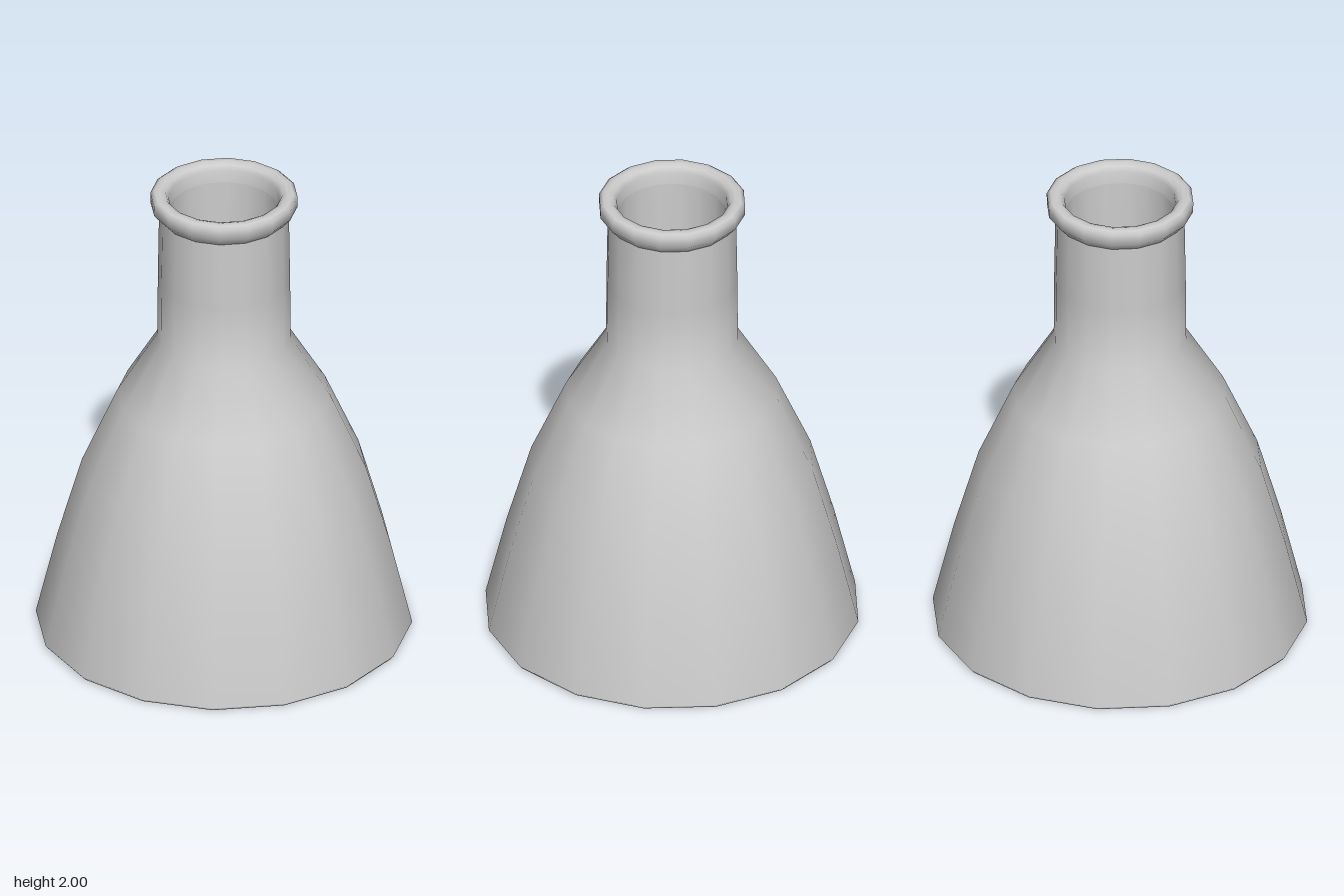
import * as THREE from 'three';

const SIDES = 16;

export function createModel() {
  const flask = new THREE.Group();
  flask.name = 'flask';
  const glass = new THREE.MeshStandardMaterial({ color: 0xcccccc });

  // Turned part from a [radius, height] profile; upward profiles face outward
  const turn = (name, profile) => {
    const points = profile.map(([r, y]) => new THREE.Vector2(r, y));
    const mesh = new THREE.Mesh(new THREE.LatheGeometry(points, SIDES), glass);
    mesh.name = name;
    flask.add(mesh);
  };

  // Flat underside
  turn('base', [[0, 0], [0.755, 0]]);

  // Small chamfer, curved body, straight neck
  turn('outerWall', [
    [0.755, 0], [0.768, 0.015], [0.68, 0.38], [0.58, 0.73], [0.435, 1.06],
    [0.272, 1.33], [0.27, 1.6], [0.265, 1.9],
  ]);

  // Rounded lip around the mouth
  turn('lip', [
    [0.265, 1.9], [0.3, 1.94], [0.301, 1.985], [0.285, 1.998],
    [0.262, 2], [0.24, 1.992], [0.228, 1.97], [0.222, 1.92],
  ]);

  // Hollow inside, from the mouth down to the floor
  turn('innerWall', [
    [0.222, 1.92], [0.215, 1.6], [0.215, 1.33], [0.39, 1.05],
    [0.535, 0.72], [0.635, 0.38], [0.715, 0.04],
  ]);
  turn('innerFloor', [[0.715, 0.04], [0, 0.04]]);

  return flask;
}
